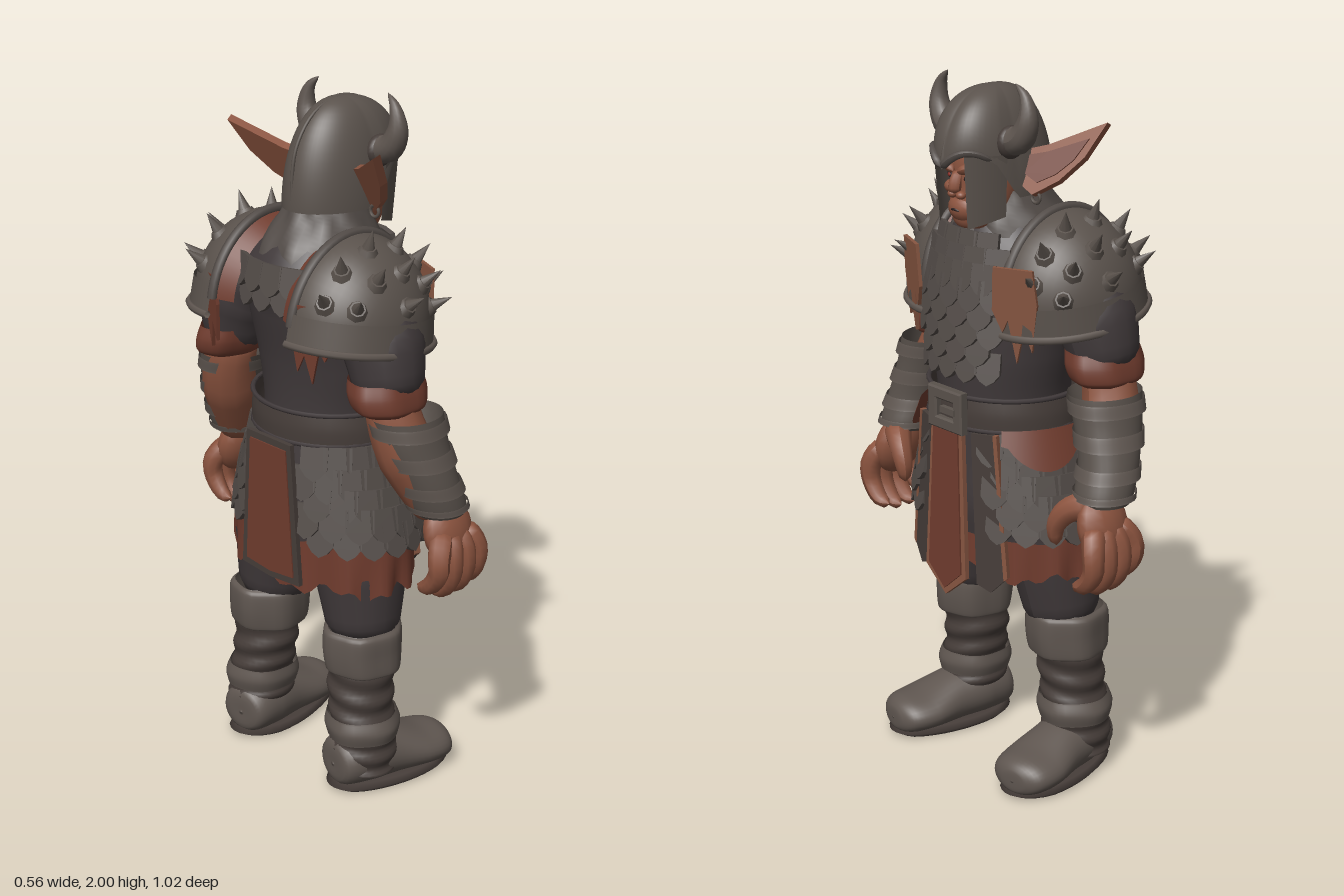
import * as THREE from 'three';
import { mergeGeometries } from 'three/addons/utils/BufferGeometryUtils.js';
import { ParametricGeometry } from 'three/addons/geometries/ParametricGeometry.js';

const PI = Math.PI;
const mat = (name, color) => Object.assign(new THREE.MeshStandardMaterial({ color, side: THREE.DoubleSide }), { name });
const M = {
  steel: mat('dull steel', 0x5a524c), scale: mat('scale mail', 0x524b47), cloth: mat('dark cloth', 0x40393a),
  leather: mat('red leather', 0x703c2e), skin: mat('skin', 0x8c543f), boot: mat('boot leather', 0x5f5650),
  strap: mat('strap leather', 0x463d39), trim: mat('tan trim', 0x875641), black: mat('shadow black', 0x2a2020),
  eye: mat('eye red', 0x8c3028),
};

// Places a geometry: scale, then turn (x before y), then move
const at = (g, p = [0, 0, 0], r = [0, 0, 0], s = [1, 1, 1]) => g.applyMatrix4(new THREE.Matrix4().compose(
  new THREE.Vector3(...p), new THREE.Quaternion().setFromEuler(new THREE.Euler(...r, 'YXZ')), new THREE.Vector3(...s)));

// Smooth row lookup in a list of rings [y, cx, cz, rx, rz], t from 0 to 1
function ringAt(rings, t) {
  const n = rings.length - 1, f = Math.min(Math.max(t, 0), 1) * n, i = Math.min(Math.floor(f), n - 1), k = f - i;
  const R = j => rings[Math.min(Math.max(j, 0), n)];
  return rings[0].map((_, c) => {
    const a = R(i - 1)[c], b = R(i)[c], d = R(i + 1)[c], e = R(i + 2)[c];
    return b + 0.5 * k * (d - a + k * (2 * a - 5 * b + 4 * d - e + k * (3 * (b - d) + e - a)));
  });
}
// Surface through stacked elliptical rings; angle 0 is the front; wave ruffles the surface
function loft(rings, { from = -PI, to = PI, grow = 0, wave = null, seg = 32, rows = 5 } = {}) {
  return new ParametricGeometry((u, v, out) => {
    const a = from + (to - from) * u, [y, cx, cz, rx, rz] = ringAt(rings, v), w = 1 + (wave ? wave(a, v) : 0);
    out.set(cx + Math.sin(a) * (Math.max(rx, 0.001) + grow) * w, y, cz + Math.cos(a) * (Math.max(rz, 0.001) + grow) * w);
  }, seg, rows * (rings.length - 1));
}
// Tapered rounded tube along points
function limb(pts, radii, seg = 14, sides = 12) {
  const curve = new THREE.CatmullRomCurve3(pts.map(p => new THREE.Vector3(...p)));
  const g = new THREE.TubeGeometry(curve, seg, 1, sides), pos = g.attributes.position, v = new THREE.Vector3();
  for (let i = 0; i <= seg; i++) {
    const c = curve.getPointAt(i / seg), f = i / seg * (radii.length - 1), k = Math.min(Math.floor(f), radii.length - 2);
    const end = Math.min(i, seg - i), r = (radii[k] + (radii[k + 1] - radii[k]) * (f - k)) * (end === 0 ? 0.02 : end === 1 ? 0.9 : 1);
    for (let j = 0; j <= sides; j++) {
      const n = i * (sides + 1) + j;
      v.fromBufferAttribute(pos, n).sub(c).multiplyScalar(r).add(c);
      pos.setXYZ(n, v.x, v.y, v.z);
    }
  }
  g.computeVertexNormals();
  return g;
}
const shapeOf = pts => new THREE.Shape(pts.map(p => new THREE.Vector2(...p)));
const plate = (pts, depth = 0.01) => new THREE.ExtrudeGeometry(shapeOf(pts), { depth, bevelEnabled: false });
const ball = (p, s, r = [0, 0, 0]) => at(new THREE.SphereGeometry(1, 16, 12), p, r, s);

// Staggered rows of pointed scales on a loft
function scales(rings, rowTs, count, w, h, allow) {
  const list = [];
  rowTs.forEach((t, row) => {
    const [y, cx, cz, rx, rz] = ringAt(rings, t);
    for (let i = 0; i < count; i++) {
      const a = (i + (row % 2) / 2) / count * 2 * PI - PI;
      if (!allow(a)) continue;
      const g = plate([[-w, h], [w, h], [w, -h * 0.3], [w * 0.55, -h * 0.75], [0, -h], [-w * 0.55, -h * 0.75], [-w, -h * 0.3]], 0.014);
      list.push(at(g, [cx + Math.sin(a) * (rx + 0.006), y, cz + Math.cos(a) * (rz + 0.006)],
        [-0.22, Math.atan2(Math.sin(a) / rx, Math.cos(a) / rz), 0]));
    }
  });
  return mergeGeometries(list);
}
function mirrored(src) {
  const g = src.clone().scale(-1, 1, 1);
  if (!g.index) g.setIndex([...Array(g.attributes.position.count).keys()]);
  const ix = g.index.array;
  for (let i = 0; i < ix.length; i += 3) [ix[i], ix[i + 1]] = [ix[i + 1], ix[i]];
  return g;
}

export function createModel() {
  const body = new THREE.Group();
  body.name = 'armouredWarrior';
  const add = (name, g, m) => { const o = new THREE.Mesh(g, m); o.name = name; body.add(o); };
  const pair = (name, g, m) => { add(name + 'Left', g, m); add(name + 'Right', mirrored(g), m); };

  // Torso, chest scales and collar
  const torso = [[0.98, 0, 0.03, 0.2, 0.185], [1.12, 0, 0.04, 0.195, 0.18], [1.26, 0, 0.04, 0.22, 0.188],
    [1.4, 0, 0.025, 0.24, 0.2], [1.52, 0, 0, 0.225, 0.2], [1.62, 0, 0.01, 0.14, 0.15], [1.7, 0, 0.03, 0.09, 0.09]];
  add('tunic', loft(torso), M.cloth);
  add('chestScales', scales(torso, [0.3, 0.36, 0.42, 0.48, 0.54, 0.6, 0.66, 0.72], 22, 0.036, 0.045, a => Math.abs(a) < 0.6), M.scale);
  add('collar', loft([[1.52, 0, 0.0, 0.19, 0.195], [1.6, 0, 0.005, 0.16, 0.165], [1.66, 0, 0.02, 0.125, 0.13], [1.7, 0, 0.025, 0.105, 0.11]], { wave: (a, v) => 0.03 * Math.sin(a * 9 + v * 6) }), M.scale);
  add('backScales', scales(torso, [0.6, 0.67], 22, 0.036, 0.045, a => Math.abs(a) > 2.6), M.scale);

  // Belt and buckle
  add('belt', loft([[1.05, 0, 0.035, 0.23, 0.21], [1.1, 0, 0.035, 0.228, 0.212], [1.15, 0, 0.035, 0.218, 0.207]]), M.strap);
  for (const y of [1.055, 1.145]) add('beltEdge', at(new THREE.TorusGeometry(1, 0.035, 6, 40), [0, y, 0.035], [PI / 2, 0, 0], [0.225, 0.208, 0.2]), M.cloth);
  const frame = shapeOf([[-0.065, -0.055], [0.065, -0.055], [0.065, 0.055], [-0.065, 0.055]]);
  frame.holes.push(shapeOf([[-0.04, -0.03], [-0.04, 0.03], [0.04, 0.03], [0.04, -0.03]]));
  add('buckle', at(new THREE.ExtrudeGeometry(frame, { depth: 0.02, bevelSize: 0.005, bevelThickness: 0.005, bevelSegments: 1 }), [0, 1.1, 0.238]), M.steel);
  add('bucklePin', at(new THREE.BoxGeometry(0.06, 0.018, 0.015), [0.015, 1.1, 0.258]), M.steel);

  // Scale skirt over a ragged leather underskirt
  const skirt = [[0.74, 0, 0.025, 0.3, 0.195], [0.83, 0, 0.03, 0.295, 0.205], [0.95, 0, 0.03, 0.25, 0.2], [1.07, 0, 0.035, 0.21, 0.19]];
  add('skirtLining', loft(skirt), M.cloth);
  add('skirtScales', scales(skirt, [0.8, 0.65, 0.5, 0.35, 0.2], 22, 0.04, 0.05, a => Math.abs(a) > 0.5 && Math.abs(a) < 2.75), M.scale);
  add('underskirt', new ParametricGeometry((u, v, out) => {
    const a = (u * 2 - 1) * PI, w = 1 + 0.03 * Math.sin(a * 13) * (1 - v);
    out.set(Math.sin(a) * 0.315 * w, 0.63 + 0.015 * Math.sin(a * 7) + 0.012 * Math.sin(a * 19) * (1 - v) + v * 0.15, 0.01 + Math.cos(a) * 0.195 * w);
  }, 80, 6), M.leather);
  pair('hipFlap', new ParametricGeometry((u, v, out) => {
    const a = 0.75 + u, y = 1.07 - v * 0.11 * Math.sin(PI * Math.min(Math.max(u, 0.06), 0.94)) ** 0.6, r = 0.255 + (1.07 - y) * 0.35;
    out.set(Math.sin(a) * r, y, 0.032 + Math.cos(a) * (r - 0.018));
  }, 14, 5), M.leather);

  // Front and back tabards with side strips
  const panel = (w, top, low, tip) => [[-w * 0.75, top], [-w, low], [0, tip], [w, low], [w * 0.75, top]];
  add('tabardBorder', at(plate(panel(0.085, 0.5, 0.07, 0), 0.014), [0, 0.55, 0.25], [-0.02, 0, 0]), M.trim);
  add('tabard', at(plate(panel(0.068, 0.49, 0.08, 0.02), 0.008), [0, 0.55, 0.261], [-0.02, 0, 0]), M.leather);
  add('backTabardBorder', at(plate(panel(0.12, 0.45, 0.03, 0.02), 0.014), [0, 0.61, -0.178], [0.01, PI, 0]), M.strap);
  add('backTabard', at(plate(panel(0.098, 0.43, 0.05, 0.04), 0.008), [0, 0.61, -0.188], [0.01, PI, 0]), M.leather);
  pair('sideStrip', at(plate([[-0.035, 0.46], [-0.045, 0.02], [0, 0], [0.045, 0.04], [0.035, 0.46]], 0.014), [0.145, 0.59, 0.212], [-0.02, 0.3, 0.07]), M.strap);
  pair('sideStripEdge', at(plate([[0.035, 0.46], [0.045, 0.04], [0.058, 0.05], [0.047, 0.46]], 0.016), [0.145, 0.59, 0.212], [-0.02, 0.3, 0.07]), M.trim);

  // Legs and boots
  pair('trouserLeg', limb([[0.13, 0.86, 0], [0.165, 0.68, 0], [0.195, 0.45, -0.01]], [0.13, 0.135, 0.1], 16, 18), M.cloth);
  pair('bootShaft', loft([[0.06, 0.23, -0.04, 0.09, 0.09], [0.14, 0.225, -0.035, 0.095, 0.1], [0.22, 0.215, -0.035, 0.09, 0.095], [0.32, 0.205, -0.03, 0.095, 0.095], [0.43, 0.2, -0.02, 0.095, 0.1]],
    { wave: (a, v) => 0.045 * Math.sin(v * 38 + Math.sin(a) * 1.6), rows: 9 }), M.strap);
  pair('bootCuff', loft([[0.37, 0.203, -0.02, 0.1, 0.1], [0.375, 0.203, -0.02, 0.11, 0.112], [0.43, 0.2, -0.02, 0.112, 0.12], [0.485, 0.2, -0.02, 0.11, 0.118], [0.5, 0.2, -0.02, 0.095, 0.105]],
    { wave: a => 0.03 * Math.sin(a * 6) }), M.boot);
  pair('bootStrap', loft([[0.16, 0.222, -0.035, 0.1, 0.105], [0.195, 0.22, -0.035, 0.108, 0.112], [0.23, 0.215, -0.035, 0.098, 0.103]], { wave: a => 0.02 * Math.sin(a * 5) }), M.boot);
  // Foot is lofted heel to toe, then laid forward
  const foot = loft([[-0.14, 0, -0.08, 0, 0], [-0.13, 0, -0.085, 0.07, 0.065], [-0.05, 0, -0.09, 0.092, 0.085], [0.05, 0, -0.08, 0.092, 0.077],
    [0.15, 0, -0.066, 0.105, 0.058], [0.22, 0, -0.06, 0.09, 0.052], [0.25, 0, -0.055, 0.05, 0.035], [0.255, 0, -0.055, 0, 0]]);
  pair('bootFoot', at(foot.rotateX(PI / 2), [0.225, 0, 0], [0, 0.16, 0]), M.boot);
  const sole = loft([[0, 0, 0.055, 0, 0], [0, 0, 0.055, 0.096, 0.192], [0.028, 0, 0.055, 0.096, 0.192], [0.03, 0, 0.055, 0, 0]], { rows: 2, wave: a => -0.05 * Math.abs(Math.sin(a * 2 + 1.2)) });
  sole.attributes.position.array.forEach((v, i, arr) => { if (i % 3 === 1) arr[i] = Math.min(Math.max(v, 0), 0.03); });
  pair('bootSole', at(sole, [0.225, 0, 0], [0, 0.16, 0]), M.strap);

  // Arms: sleeve, cuff, forearm and layered bracer
  pair('sleeve', limb([[0.2, 1.5, -0.03], [0.28, 1.38, -0.035], [0.325, 1.22, -0.045]], [0.1, 0.115, 0.09], 12, 16), M.cloth);
  pair('sleeveCuff', loft([[1.2, 0.33, -0.045, 0.07, 0.095], [1.215, 0.325, -0.045, 0.084, 0.115], [1.25, 0.315, -0.045, 0.09, 0.122], [1.29, 0.305, -0.045, 0.088, 0.112]], { wave: a => 0.02 * Math.sin(a * 7) }), M.leather);
  pair('forearm', limb([[0.31, 1.27, -0.045], [0.35, 1.13, -0.035], [0.42, 0.88, 0.06]], [0.07, 0.085, 0.06]), M.skin);
  const bracer = [[0.9, 0.42, 0.055, 0.07, 0.07], [0.925, 0.415, 0.05, 0.08, 0.082], [1.0, 0.405, 0.025, 0.08, 0.085], [1.1, 0.375, 0, 0.085, 0.1], [1.185, 0.35, -0.01, 0.093, 0.11]];
  pair('bracer', loft(bracer), M.steel);
  for (const t of [0.28, 0.5, 0.72, 0.94]) {
    const lo = ringAt(bracer, t - 0.1), hi = ringAt(bracer, t);
    pair('bracerBand', loft([lo, hi], { grow: 0.006, wave: (a, v) => 0.04 * (1 - v) + 0.015 * Math.sin(a * 4) }), M.boot);
  }

  // Hands
  pair('palm', ball([0.435, 0.84, 0.075], [0.05, 0.095, 0.082], [0, 0, 0.25]), M.skin);
  [0, 0.05, 0.1, 0.147].forEach((z, i) => {
    const d = [0.025, 0, 0, 0.015][i];
    pair('finger', limb([[0.445, 0.85, 0.045 + z * 0.5], [0.476, 0.785, z], [0.475, 0.715 + d, z], [0.435, 0.665 + d, z], [0.395, 0.66 + d, z]], [0.034, 0.033, 0.03, 0.026, 0.017], 12, 9), M.skin);
  });
  pair('thumb', limb([[0.42, 0.9, 0.09], [0.36, 0.875, 0.13], [0.325, 0.82, 0.145], [0.325, 0.765, 0.14]], [0.045, 0.036, 0.028, 0.016], 12, 9), M.skin);

  // Shoulder guards, tipped up at the back: dome, rims, lower plate, inner band and spikes
  const C = [0.16, 1.41, -0.035], S = [0.21, 0.24, 0.222], tip = [0.13, 0, 0];
  pair('shoulderDome', at(new THREE.SphereGeometry(1, 28, 14, -PI / 2, PI, 0, PI / 2).rotateZ(-PI / 2).scale(...S), C, tip), M.steel);
  pair('shoulderPlate', at(new THREE.CylinderGeometry(1.03, 1.06, 0.085, 28, 2, true, 0, PI).scale(S[0], 1, S[2]), [C[0], 1.405, C[2]], tip), M.steel);
  pair('shoulderHem', at(new THREE.TorusGeometry(1.06, 0.05, 6, 28, PI).rotateZ(-PI / 2).rotateX(PI / 2).scale(S[0], 0.22, S[2]), [C[0], 1.365, C[2] - 0.005], tip), M.boot);
  pair('shoulderRim', at(new THREE.TorusGeometry(1, 0.06, 8, 32, PI).rotateY(PI / 2).scale(0.24, S[1], S[2]), C, tip), M.scale);
  pair('shoulderBand', at(new THREE.CylinderGeometry(0.99, 0.88, 0.06, 28, 1, true, PI, PI).rotateZ(-PI / 2).scale(1, S[1], S[2]), [0.13, C[1], C[2]], tip), M.leather);
  const spikes = [];
  for (const [theta, phis] of [[0.35, [0.1]], [0.75, [-1.1, -0.5, 0.1, 0.7, 1.2]], [1.15, [-1.2, -0.75, -0.25, 0.25, 0.7, 1.1]]]) for (const phi of phis) {
    const d = new THREE.Vector3(Math.cos(theta), Math.cos(phi) * Math.sin(theta), Math.sin(phi) * Math.sin(theta));
    const n = new THREE.Vector3(d.x / S[0], d.y / S[1] + 1.5, d.z / S[2]).normalize();
    const g = mergeGeometries([new THREE.ConeGeometry(0.023, 0.075, 8).translate(0, 0.028, 0), new THREE.CylinderGeometry(0.022, 0.032, 0.018, 8)]);
    g.applyQuaternion(new THREE.Quaternion().setFromUnitVectors(new THREE.Vector3(0, 1, 0), n));
    spikes.push(g.translate(d.x * S[0], d.y * S[1], d.z * S[2]));
  }
  pair('shoulderSpikes', at(mergeGeometries(spikes), C, tip), M.steel);

  // Ragged cloth hanging below the shoulder guards
  const rag = [[-0.05, 0.1], [-0.055, 0], [-0.03, -0.05], [-0.015, -0.02], [0.005, -0.12], [0.025, -0.04], [0.045, -0.09], [0.06, 0.02], [0.05, 0.1]];
  pair('frontRag', at(plate(rag), [0.205, 1.41, 0.185], [0.06, 0.4, 0], [1.15, 1.2, 1]), M.trim);
  pair('backRag', at(plate(rag), [0.21, 1.4, -0.215], [0.05, PI - 0.35, 0], [1.1, 1, 1]), M.leather);

  // Head and face
  add('head', loft([[1.595, 0, 0.15, 0, 0], [1.605, 0, 0.145, 0.05, 0.05], [1.65, 0, 0.12, 0.08, 0.088], [1.71, 0, 0.1, 0.092, 0.105], [1.79, 0, 0.09, 0.095, 0.115], [1.88, 0, 0.08, 0.08, 0.1]]), M.skin);
  add('muzzle', ball([0, 1.655, 0.175], [0.056, 0.042, 0.043]), M.skin);
  add('nose', limb([[0, 1.76, 0.2], [0, 1.72, 0.215], [0, 1.698, 0.215]], [0.014, 0.018, 0.018], 8, 10), M.skin);
  add('mouth', limb([[-0.04, 1.645, 0.197], [0, 1.655, 0.217], [0.04, 1.645, 0.197]], [0.003, 0.004, 0.003], 8, 6), M.black);
  pair('nostril', ball([0.017, 1.695, 0.208], [0.014, 0.011, 0.014]), M.skin);
  pair('cheek', ball([0.05, 1.705, 0.175], [0.028, 0.02, 0.026]), M.skin);
  pair('browRidge', limb([[0.008, 1.757, 0.213], [0.04, 1.77, 0.203], [0.075, 1.77, 0.162]], [0.012, 0.015, 0.011], 8, 8), M.skin);
  pair('eyeSocket', ball([0.04, 1.742, 0.192], [0.022, 0.01, 0.01], [0, 0.4, 0.15]), M.black);
  pair('eye', ball([0.039, 1.742, 0.199], [0.01, 0.006, 0.005], [0, 0.4, 0]), M.eye);
  const ear = [[0, 0.05], [0.08, 0.075], [0.235, 0.15], [0.19, 0.05], [0.13, -0.02], [0.06, -0.065], [0, -0.03]];
  pair('ear', at(plate(ear, 0.024), [0.085, 1.75, 0.055], [-0.45, 0.33, 0]), M.skin);
  pair('innerEar', at(plate(ear.map(([x, y]) => [0.025 + x * 0.72, 0.008 + y * 0.62]), 0.008).translate(0, 0, 0.02), [0.085, 1.75, 0.055], [-0.45, 0.33, 0]), M.leather);
  pair('earring', at(new THREE.TorusGeometry(0.016, 0.005, 6, 14), [0.15, 1.69, 0.06]), M.steel);

  // Helmet with brow point, cheek guards, ridge and horns
  const shell = (a, k) => [Math.sin(a) * 0.125 * k, 0.075 + Math.cos(a) * 0.185 * k];
  add('helmet', new ParametricGeometry((u, v, out) => {
    const a = (u * 2 - 1) * PI, b = Math.abs(a), low = b < 1.1 ? 1.77 + 0.045 * Math.sin(b * 2.6) : 1.69 + 0.09 * Math.max(0, 1 - (b - 1.1) / 0.35);
    const e = v * PI / 2, [x, z] = shell(a, Math.cos(e) ** 0.85 + 0.0005);
    out.set(x, low + (1.978 - low) * Math.sin(e), z);
  }, 64, 16), M.steel);
  pair('cheekGuard', new ParametricGeometry((u, v, out) => {
    const a = 0.52 + 0.73 * u, [x, z] = shell(a, 0.9 + 0.1 * v);
    out.set(x, 1.61 + 0.03 * u + v * (0.2 - 0.03 * u), z);
  }, 10, 6), M.steel);
  add('helmetRidge', limb([[0, 1.77, 0.26], [0, 1.87, 0.233], [0, 1.95, 0.163], [0, 1.975, 0.075], [0, 1.948, -0.02], [0, 1.86, -0.088], [0, 1.7, -0.108]], [0.009, 0.006, 0.006, 0.005, 0.005, 0.005, 0.004], 30, 8), M.steel);
  const brow = [0, 0.25, 0.5, 0.75, 1.0].map(a => { const [x, z] = shell(a, 1.01); return [x, 1.775 + 0.045 * Math.sin(a * 2.6), z]; });
  pair('browRim', limb(brow, [0.013, 0.01, 0.008], 14, 8), M.scale);
  pair('hornSocket', ball([0.112, 1.84, 0.115], [0.03, 0.045, 0.045]), M.strap);
  pair('horn', limb([[0.095, 1.84, 0.115], [0.15, 1.855, 0.115], [0.178, 1.905, 0.115], [0.168, 1.965, 0.115], [0.135, 2.0, 0.12]], [0.04, 0.038, 0.03, 0.018, 0.003], 18, 14), M.boot);

  // Turn the figure to look along +x
  const model = new THREE.Group();
  model.name = 'warrior';
  body.rotation.y = PI / 2;
  model.add(body);
  return model;
}
